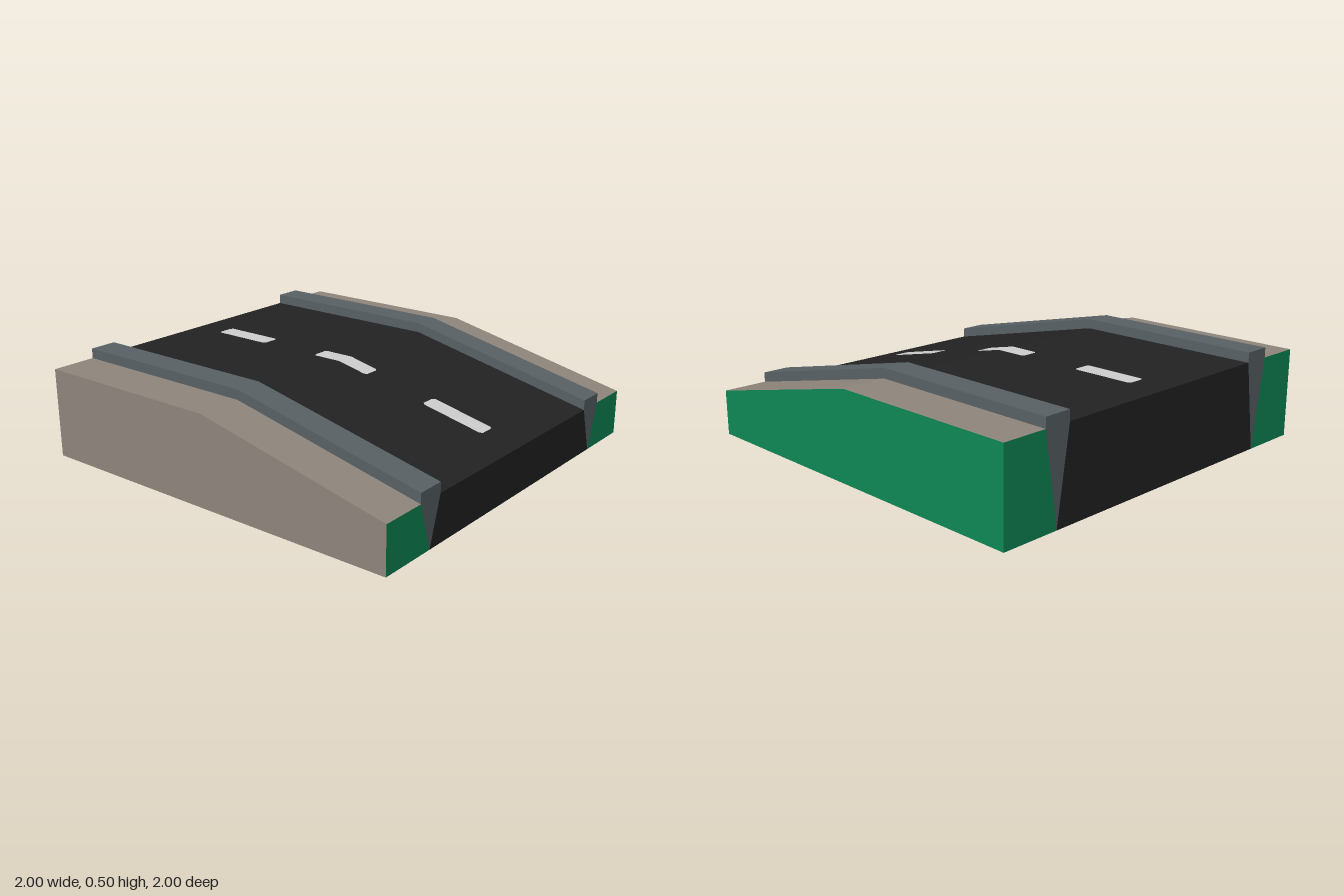
import * as THREE from 'three';

const paint = (name, color) => {
  const m = new THREE.MeshStandardMaterial({ color, side: THREE.DoubleSide });
  m.name = name;
  return m;
};

// Road height: flat at the back, sloping down to the front
const height = z => (z <= 0 ? 0.45 : 0.45 - 0.22 * z);
const stations = [-1, 0, 1];
const CURB = 0.05, INNER = 0.63, OUTER = 0.77, FOOT = 0.7;

// Sheet lofted through cross-sections (each a list of points), flat normals
function sheet(sections) {
  const pos = [];
  for (let i = 0; i + 1 < sections.length; i++) {
    for (let j = 0; j + 1 < sections[i].length; j++) {
      const a = sections[i][j], b = sections[i + 1][j];
      const c = sections[i + 1][j + 1], d = sections[i][j + 1];
      pos.push(...a, ...b, ...c, ...a, ...c, ...d);
    }
  }
  const g = new THREE.BufferGeometry();
  g.setAttribute('position', new THREE.Float32BufferAttribute(pos, 3));
  g.computeVertexNormals();
  return g;
}

// Sheet following the road; profile points are [x, height above the road]
const along = profile =>
  sheet(stations.map(z => profile.map(([x, dy]) => [x, height(z) + dy, z])));

// Flat polygon closing the front (z = 1) or back (z = -1)
function endPlate(points, z) {
  const g = new THREE.ShapeGeometry(new THREE.Shape(points.map(p => new THREE.Vector2(...p))));
  if (z < 0) g.rotateY(Math.PI);
  return g.translate(0, 0, z);
}

export function createModel() {
  const group = new THREE.Group();
  group.name = 'roadRamp';
  const asphalt = paint('asphalt', 0x222222);
  const curbGrey = paint('curbGrey', 0x596165);
  const stone = paint('stone', 0x8f867c);
  const green = paint('green', 0x0e8855);
  const white = paint('lineWhite', 0xcfcfcf);
  const add = (name, geometry, material) => {
    const mesh = new THREE.Mesh(geometry, material);
    mesh.name = name;
    group.add(mesh);
  };

  // Road deck
  add('roadDeck', along([[-INNER, 0], [INNER, 0]]), asphalt);

  // Curbs and pavements, profiles running from -x to +x
  for (const s of [-1, 1]) {
    const side = s > 0 ? 'left' : 'right';
    const order = p => (s > 0 ? p : p.reverse());
    add(side + 'Curb', along(order([
      [s * INNER, 0], [s * INNER, CURB], [s * OUTER, CURB], [s * OUTER, 0]])), curbGrey);
    add(side + 'Pavement', along(order([[s * OUTER, 0], [s, 0]])), stone);

    // Outer wall down to the ground
    add(side + 'Wall', sheet(stations.map(z => order([[s, height(z), z], [s, 0, z]]))),
      s > 0 ? green : stone);
  }

  // End faces: road wedge, tapered curb ends and green corners
  for (const z of [1, -1]) {
    const end = z > 0 ? 'front' : 'back';
    const h = height(z);
    add(end + 'RoadFace', endPlate([[-FOOT, 0], [FOOT, 0], [INNER, h], [-INNER, h]], z), asphalt);
    for (const s of [-1, 1]) {
      add(end + 'CurbEnd', endPlate([[s * FOOT, 0], [s * OUTER, h], [s * OUTER, h + CURB],
        [s * INNER, h + CURB], [s * INNER, h]], z), curbGrey);
      add(end + 'Corner', endPlate([[s * FOOT, 0], [s, 0], [s, h], [s * OUTER, h]], z), green);
    }
  }

  // Lane dashes with clipped corners, seen on both faces of the deck
  const half = 0.165, clip = 0.012, width = 0.048;
  for (const centre of [-0.665, 0, 0.665]) {
    const rows = [[-half, width - clip], [clip - half, width], [0, width],
      [half - clip, width], [half, width - clip]];
    for (const lift of [0.003, -0.003]) {
      const sections = rows.map(([dz, w]) => {
        const z = centre + dz, y = height(z) + lift;
        return lift > 0 ? [[-w, y, z], [w, y, z]] : [[w, y, z], [-w, y, z]];
      });
      add(lift > 0 ? 'laneDash' : 'laneDashUnderside', sheet(sections), white);
    }
  }
  return group;
}
